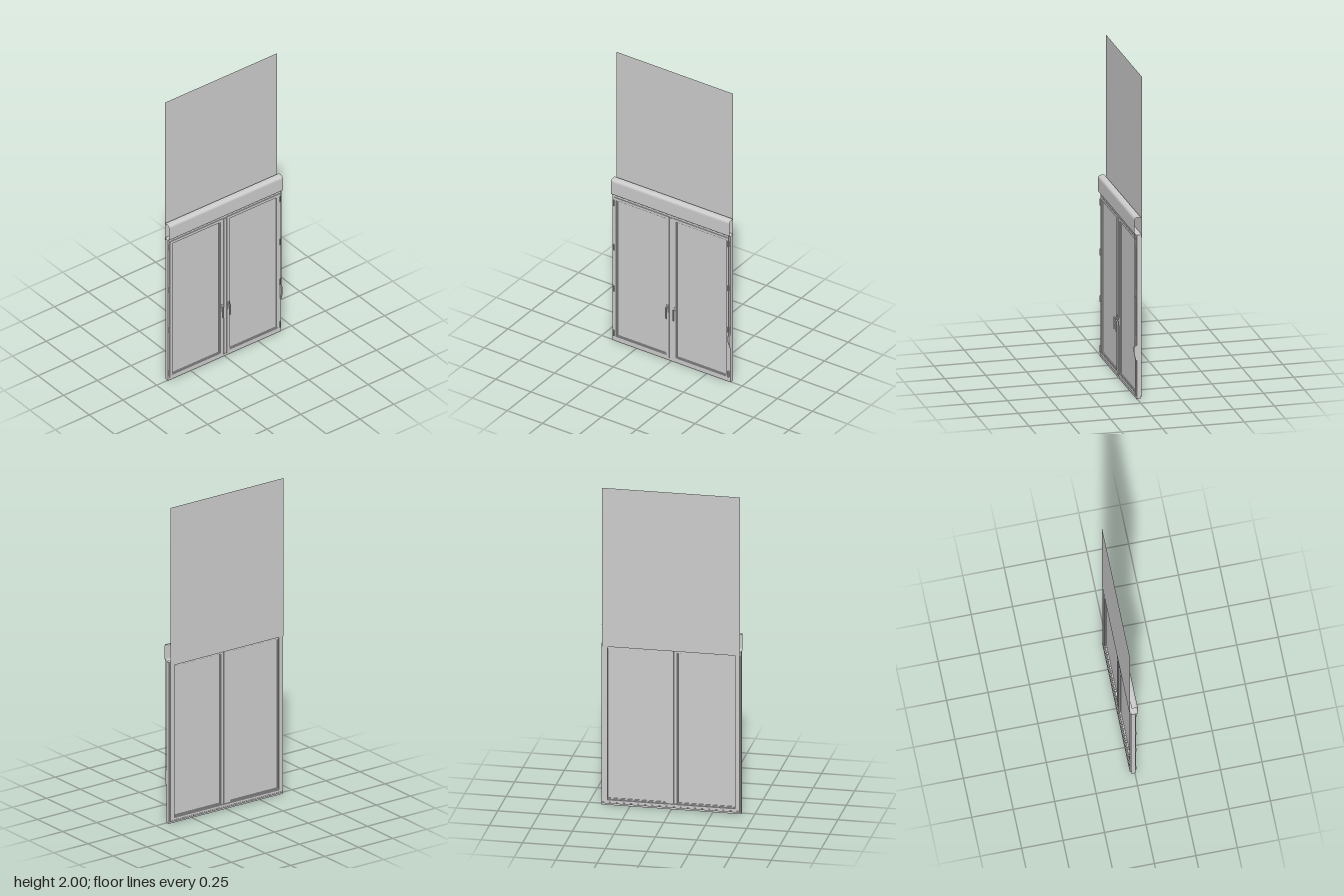
import * as THREE from 'three';

const grey = new THREE.MeshStandardMaterial({ color: 0xcccccc });
grey.name = 'light grey';
grey.side = THREE.DoubleSide;

function add(parent, name, geometry, x = 0, y = 0, z = 0) {
  const mesh = new THREE.Mesh(geometry, grey);
  mesh.name = name;
  mesh.position.set(x, y, z);
  parent.add(mesh);
  return mesh;
}

// Box given by its lower and upper corners
function block(parent, name, x0, x1, y0, y1, z0, z1) {
  return add(parent, name, new THREE.BoxGeometry(x1 - x0, y1 - y0, z1 - z0),
    (x0 + x1) / 2, (y0 + y1) / 2, (z0 + z1) / 2);
}

function rectangle(path, x0, x1, y0, y1) {
  path.moveTo(x0, y0);
  path.lineTo(x1, y0);
  path.lineTo(x1, y1);
  path.lineTo(x0, y1);
  path.closePath();
  return path;
}

// Rectangular ring, with an outer and an inner [x0, x1, y0, y1]
function ring(parent, name, outer, inner, z0, z1) {
  const shape = rectangle(new THREE.Shape(), ...outer);
  shape.holes.push(rectangle(new THREE.Path(), ...inner));
  return add(parent, name,
    new THREE.ExtrudeGeometry(shape, { depth: z1 - z0, bevelEnabled: false }), 0, 0, z0);
}

// Open sheet that carries a [z, y] profile across the width
function profileSheet(points, halfWidth) {
  const g = new THREE.PlaneGeometry(1, 1, points.length - 1, 1);
  const p = g.attributes.position, n = points.length;
  for (let i = 0; i < p.count; i++) {
    const pt = points[i % n];
    p.setXYZ(i, i < n ? halfWidth : -halfWidth, pt.y, pt.x);
  }
  const flat = g.toNonIndexed();
  flat.computeVertexNormals();
  return flat;
}

function makeSash(side) {
  const sash = new THREE.Group();
  sash.name = side < 0 ? 'rightSash' : 'leftSash';
  const span = (a, b) => (side > 0 ? [a, b] : [-b, -a]);
  ring(sash, 'sashFrame', [...span(0.014, 0.407), 0.018, 1.004], [...span(0.034, 0.391), 0.036, 0.987], -0.017, 0.008);
  ring(sash, 'glazingBead', [...span(0.034, 0.391), 0.036, 0.987], [...span(0.039, 0.386), 0.041, 0.982], -0.012, 0.004);
  block(sash, 'pane', ...span(0.036, 0.389), 0.038, 0.985, -0.007, -0.002);

  // Hinges along the outer edge
  for (const y of [0.055, 0.365, 0.655, 0.965]) {
    add(sash, 'hinge', new THREE.CylinderGeometry(0.005, 0.005, 0.04, 12), side * 0.408, y, 0.007);
  }

  // Handle: plate, neck and hanging lever
  const x = side * 0.026;
  block(sash, 'handlePlate', x - 0.006, x + 0.006, 0.335, 0.385, 0.008, 0.012);
  add(sash, 'handleNeck', new THREE.CylinderGeometry(0.004, 0.004, 0.016, 12), x, 0.368, 0.018).rotation.x = Math.PI / 2;
  block(sash, 'handleLever', x - 0.004, x + 0.004, 0.3, 0.376, 0.022, 0.028);
  return sash;
}

export function createModel() {
  const model = new THREE.Group();
  model.name = 'balconyWindow';

  // Fixed frame and the narrower guide frame behind it
  ring(model, 'outerFrame', [-0.42, 0.42, 0, 1.02], [-0.402, 0.402, 0.024, 1.0], -0.02, 0.004);
  ring(model, 'guideFrame', [-0.413, 0.413, 0.012, 1.02], [-0.385, 0.385, 0.034, 1.0], -0.027, -0.02);
  block(model, 'sill', -0.413, 0.413, 0.012, 0.02, -0.029, -0.02);

  // Two sashes meeting at a centre strip
  model.add(makeSash(-1), makeSash(1));
  block(model, 'centreStrip', -0.014, 0.014, 0.02, 1.002, -0.019, 0.006);
  block(model, 'centreCover', -0.01, 0.01, 0.02, 1.002, 0.006, 0.01);

  // Open-ended cover above the window
  const cover = new THREE.Path();
  cover.moveTo(-0.02, 1.13);
  cover.lineTo(0, 1.13);
  cover.quadraticCurveTo(0.017, 1.129, 0.018, 1.112);
  cover.lineTo(0.018, 1.034);
  cover.quadraticCurveTo(0.017, 1.022, 0.004, 1.021);
  add(model, 'topCover', profileSheet(cover.getPoints(8), 0.422));

  // Thin raised sheet
  add(model, 'raisedSheet', new THREE.PlaneGeometry(0.83, 1.0), 0, 1.5, -0.029);

  // Pull cord with its winder on the frame
  add(model, 'cord', new THREE.CylinderGeometry(0.002, 0.002, 0.7, 8), 0.415, 0.68, 0.016);
  const winder = new THREE.Shape();
  winder.moveTo(0.003, 0.24);
  winder.lineTo(0.01, 0.24);
  winder.lineTo(0.02, 0.29);
  winder.lineTo(0.02, 0.325);
  winder.lineTo(0.003, 0.335);
  winder.closePath();
  add(model, 'cordWinder',
    new THREE.ExtrudeGeometry(winder, { depth: 0.01, bevelEnabled: false }), 0.42).rotation.y = -Math.PI / 2;

  return model;
}
